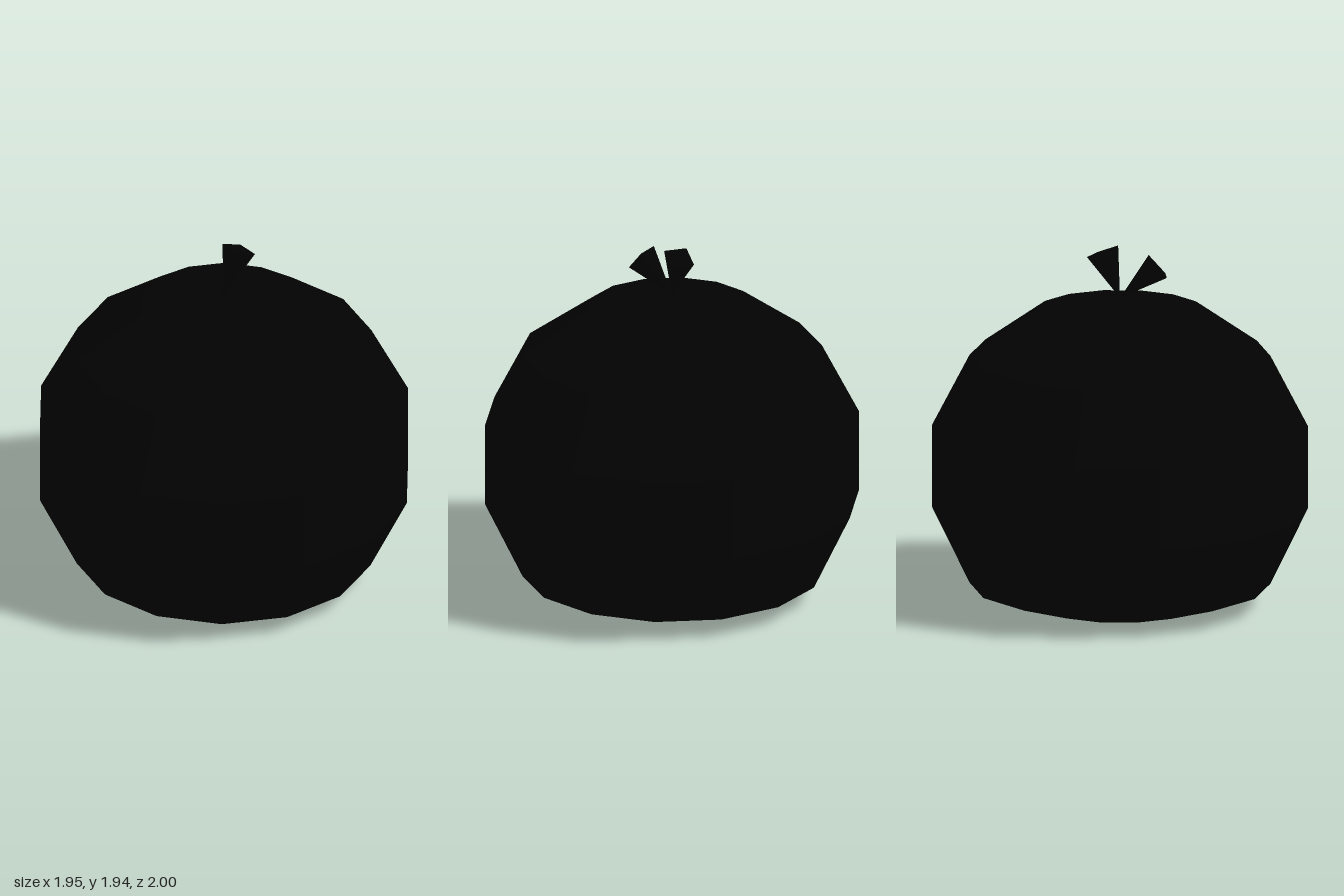
import * as THREE from 'three';

const material = new THREE.MeshStandardMaterial({ color: 0x020202, flatShading: true });

// Closed pyramid: apex plus four rim corners, counter-clockwise seen from outside the cap
function taperedStem(apex, [a, b, c, d]) {
  const triangles = [
    a, b, c, a, c, d,
    apex, b, a, apex, c, b, apex, d, c, apex, a, d,
  ];
  const geometry = new THREE.BufferGeometry();
  geometry.setAttribute('position', new THREE.Float32BufferAttribute(triangles.flat(), 3));
  geometry.computeVertexNormals();
  return geometry;
}

export function createModel() {
  const model = new THREE.Group();
  model.name = 'roundFruit';

  const add = (name, geometry) => {
    const mesh = new THREE.Mesh(geometry, material);
    mesh.name = name;
    model.add(mesh);
  };

  // Faceted body with flattened crown and base
  const profile = [
    [0, 0], [0.445, 0], [0.8, 0.11], [1, 0.525],
    [1, 0.97], [0.8, 1.355], [0.445, 1.605], [0, 1.67],
  ].map(([r, y]) => new THREE.Vector2(r, y));
  add('body', new THREE.LatheGeometry(profile, 14));

  // Two stems flaring out from the crown
  const crown = [0, 1.67, 0];
  add('backStem', taperedStem(crown, [
    [-0.067, 1.94, -0.04], [0.058, 1.94, -0.04],
    [0.058, 1.89, -0.163], [-0.067, 1.89, -0.163],
  ]));
  add('frontStem', taperedStem(crown, [
    [0.045, 1.895, 0.165], [0.07, 1.79, 0.243],
    [0.18, 1.785, 0.18], [0.14, 1.885, 0.1],
  ]));

  return model;
}
